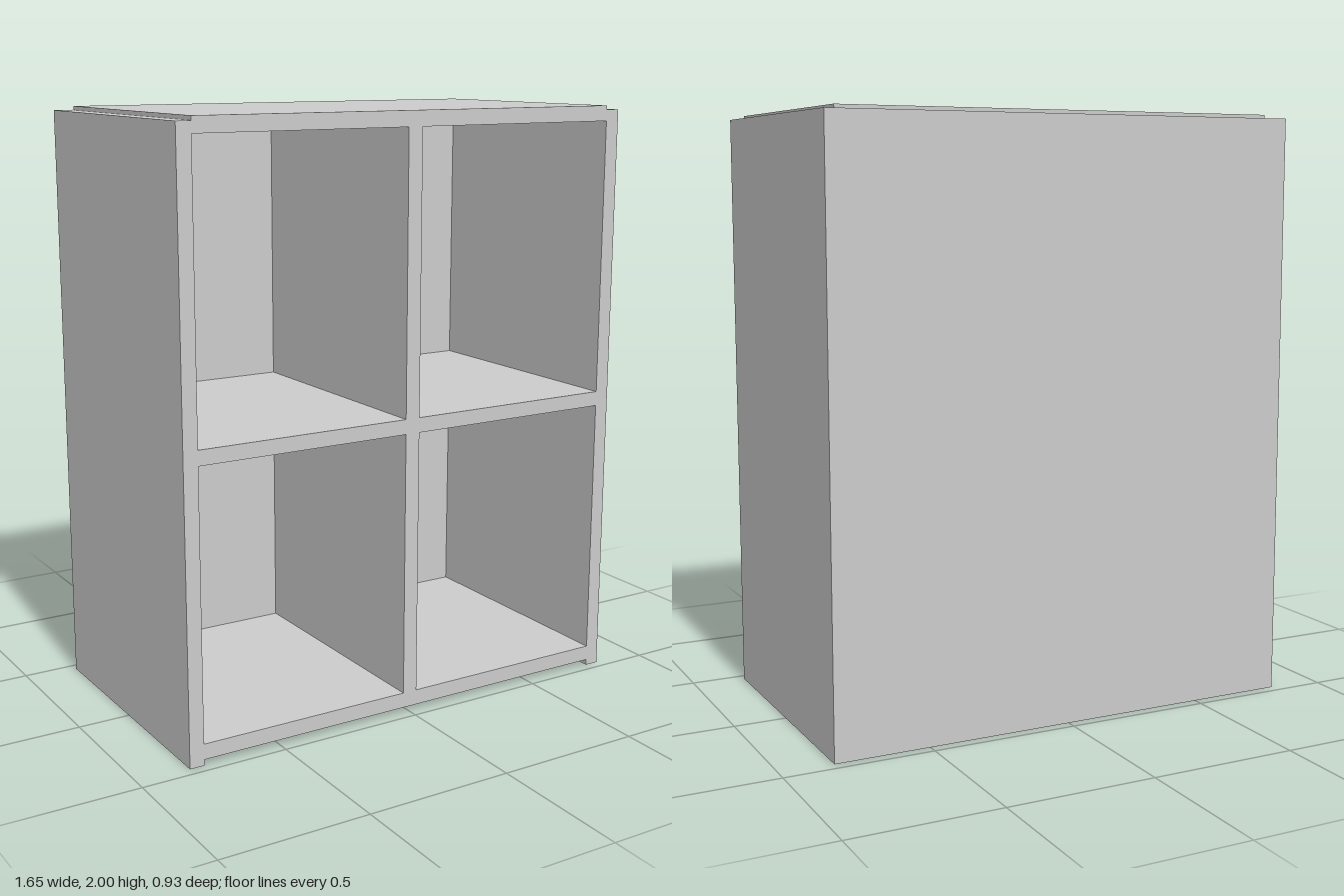
import * as THREE from 'three';

const material = new THREE.MeshStandardMaterial({ color: 0xcccccc });

// Overall half sizes, and the inner faces of the side and back panels
const X = 0.823, Z = 0.466, innerX = 0.773, innerBack = -0.414;
const sideTop = 1.986;

// Adds a box given by its lower and upper limits on each axis
function panel(group, name, [x0, x1], [y0, y1], [z0, z1]) {
  const mesh = new THREE.Mesh(new THREE.BoxGeometry(x1 - x0, y1 - y0, z1 - z0), material);
  mesh.position.set((x0 + x1) / 2, (y0 + y1) / 2, (z0 + z1) / 2);
  mesh.name = name;
  group.add(mesh);
}

export function createModel() {
  const group = new THREE.Group();
  group.name = 'cubbyShelf';
  const inside = [-innerX, innerX], depth = [innerBack, Z];

  // Outer case
  panel(group, 'leftSide', [innerX, X], [0, sideTop], depth);
  panel(group, 'rightSide', [-X, -innerX], [0, sideTop], depth);
  panel(group, 'backPanel', [-X, X], [0, sideTop], [-Z, innerBack]);

  // Horizontal boards: the bottom is raised slightly, the top stands proud
  const boards = { bottomBoard: [0.02, 0.072], middleShelf: [0.968, 1.018], topBoard: [1.949, 2] };
  for (const [name, height] of Object.entries(boards)) panel(group, name, inside, height, depth);

  // Upright dividers between the boards
  panel(group, 'lowerDivider', [-0.026, 0.026], [0.072, 0.968], depth);
  panel(group, 'upperDivider', [-0.026, 0.026], [1.018, 1.949], depth);

  return group;
}
